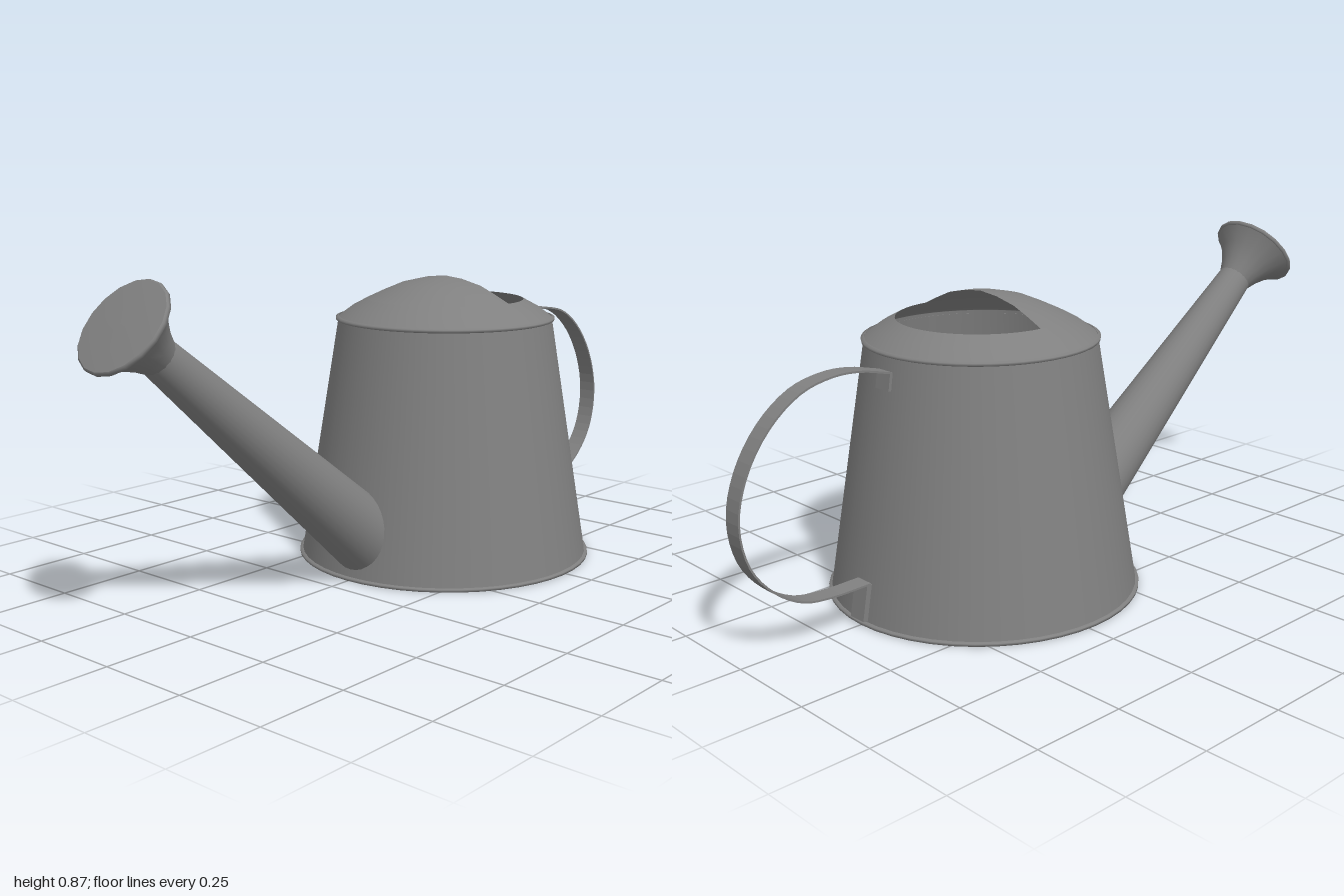
import * as THREE from 'three';

const BODY_Z = -0.23;
const v2 = (p) => new THREE.Vector2(p[0], p[1]);

export function createModel() {
  const model = new THREE.Group();
  model.name = 'wateringCan';
  const metal = new THREE.MeshStandardMaterial({ color: 0x808080, side: THREE.DoubleSide });
  metal.name = 'grey metal';

  const add = (name, geometry, parent = model) => {
    const mesh = new THREE.Mesh(geometry, metal);
    mesh.name = name;
    parent.add(mesh);
    return mesh;
  };
  const lathe = (points, segments, start, sweep) =>
    new THREE.LatheGeometry(points.map(v2), segments, start, sweep);

  // Can: tapered wall, floor, rims and domed top, all round one vertical axis
  const can = new THREE.Group();
  can.name = 'can';
  can.position.z = BODY_Z;
  model.add(can);
  add('wall', lathe([[0.412, 0.005], [0.303, 0.685]], 48), can);
  const floor = new THREE.CircleGeometry(0.413, 48);
  floor.rotateX(Math.PI / 2);
  floor.translate(0, 0.005, 0);
  add('floor', floor, can);
  add('bottomRim', lathe([[0.408, 0], [0.42, 0.001], [0.42, 0.008], [0.41, 0.01]], 48), can);
  add('topRim', lathe([[0.304, 0.676], [0.31, 0.678], [0.311, 0.685], [0.302, 0.688]], 48), can);
  add('topShoulder', lathe([[0.302, 0.686], [0.265, 0.713], [0.222, 0.736]], 48), can);
  // Front half of the dome only; the rear half is the filling hole
  add('topHood', lathe([[0.222, 0.736], [0.175, 0.758], [0.125, 0.779], [0.06, 0.794], [0, 0.8]],
    24, -Math.PI / 2, Math.PI), can);

  // Spout and rose: turned round a tilted axis, local y runs along the spout
  const spout = new THREE.Group();
  spout.name = 'spout';
  spout.position.set(0, 0.15, 0.165);
  spout.rotation.x = Math.atan2(0.66, 0.545);
  model.add(spout);
  add('spoutTube', lathe([[0.101, -0.08], [0.05, 0.856]], 32), spout);
  add('roseCone', lathe([[0.05, 0.85], [0.064, 0.885], [0.09, 0.93], [0.122, 0.966]], 18), spout);
  add('roseRim', lathe([[0.122, 0.966], [0.128, 0.968], [0.128, 0.976], [0.124, 0.979]], 18), spout);
  add('roseFace', lathe([[0.124, 0.979], [0.07, 0.983], [0, 0.984]], 18), spout);

  // Flat strip of metal following a path of [z, y] points
  const strip = (points, divisions, width, thickness) => {
    const curve = new THREE.CatmullRomCurve3(points.map(([z, y]) => new THREE.Vector3(z, y, 0)));
    const sides = [[], []];
    for (let i = 0; i <= divisions; i++) {
      const p = curve.getPoint(i / divisions);
      const t = curve.getTangent(i / divisions);
      [1, -1].forEach((s, k) => sides[k].push(new THREE.Vector2(
        p.x - t.y * s * thickness / 2, p.y + t.x * s * thickness / 2)));
    }
    const shape = new THREE.Shape([...sides[0], ...sides[1].reverse()]);
    const geometry = new THREE.ExtrudeGeometry(shape, { depth: width, bevelEnabled: false });
    geometry.rotateY(-Math.PI / 2);
    geometry.translate(width / 2, 0, 0);
    return geometry;
  };

  // Handle loop with a fixing tab at each end
  add('handle', strip([[-0.545, 0.643], [-0.64, 0.664], [-0.72, 0.665], [-0.81, 0.642], [-0.9, 0.575],
    [-0.967, 0.475], [-0.994, 0.365], [-0.972, 0.255], [-0.91, 0.175], [-0.83, 0.126],
    [-0.75, 0.114], [-0.632, 0.114]], 44, 0.052, 0.005));
  add('upperTab', strip([[-0.546, 0.645], [-0.553, 0.598]], 1, 0.052, 0.008));
  add('lowerTab', strip([[-0.636, 0.114], [-0.653, 0.018]], 1, 0.052, 0.014));

  return model;
}
